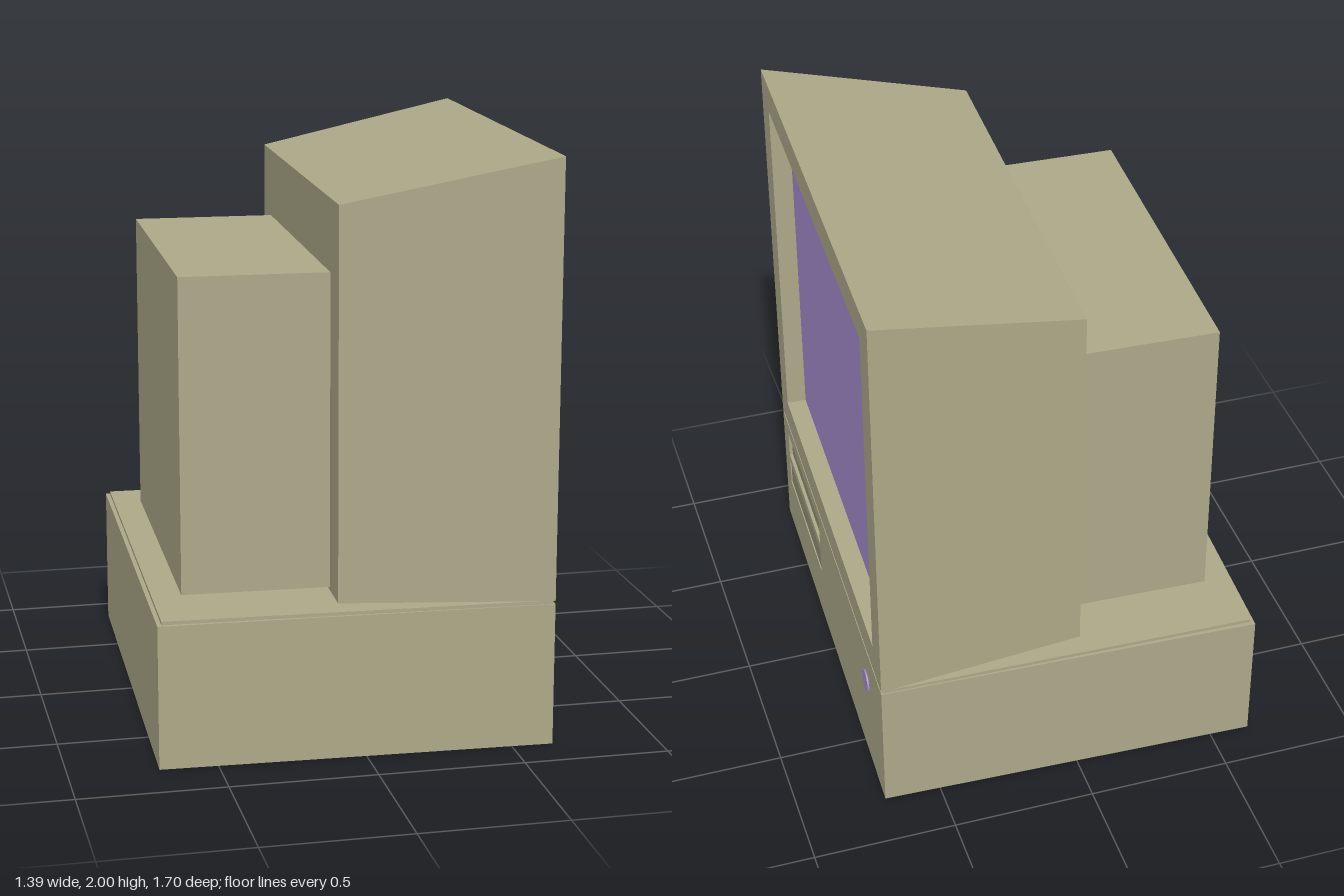
import * as THREE from 'three';

const beige = new THREE.MeshStandardMaterial({ color: 0xaca888 });
const shade = new THREE.MeshStandardMaterial({ color: 0x928f76 });
const violet = new THREE.MeshStandardMaterial({ color: 0xa58ccc });

// Joins rectangular rings [x, halfWidth, bottom, top], listed from back to front
function loft(rings, capFront = true) {
  const pos = [];
  const corners = rings.map(([x, h, y0, y1]) => [[x, y0, h], [x, y0, -h], [x, y1, -h], [x, y1, h]]);
  const quad = (a, b, c, d) => pos.push(...a, ...b, ...c, ...a, ...c, ...d);
  for (let r = 0; r < corners.length - 1; r++) {
    for (let i = 0; i < 4; i++) {
      const j = (i + 1) % 4;
      quad(corners[r][i], corners[r][j], corners[r + 1][j], corners[r + 1][i]);
    }
  }
  quad(...[...corners[0]].reverse());
  if (capFront) quad(...corners[corners.length - 1]);
  const geo = new THREE.BufferGeometry();
  geo.setAttribute('position', new THREE.Float32BufferAttribute(pos, 3));
  geo.computeVertexNormals();
  return geo;
}

// Traces a rectangle on the front; z is mirrored because the shape is turned to face +x
function rect(path, z0, z1, y0, y1) {
  path.moveTo(-z1, y0);
  path.lineTo(-z0, y0);
  path.lineTo(-z0, y1);
  path.lineTo(-z1, y1);
  path.closePath();
  return path;
}

export function createModel() {
  const computer = new THREE.Group();
  computer.name = 'desktopComputer';
  const add = (name, geo, mat = beige, x = 0, y = 0, z = 0) => {
    const mesh = new THREE.Mesh(geo, mat);
    mesh.name = name;
    mesh.position.set(x, y, z);
    computer.add(mesh);
    return mesh;
  };

  // Case body, with a front panel pierced by two drive bays
  const front = 0.67, panel = 0.03;
  add('caseBody', loft([[-front, 0.828, 0, 0.495], [front - panel, 0.828, 0, 0.495]]));
  const face = rect(new THREE.Shape(), -0.828, 0.828, 0, 0.495);
  const bays = [[0.345, 0.445], [0.21, 0.31]];
  bays.forEach(([y0, y1]) => face.holes.push(rect(new THREE.Path(), 0.183, 0.738, y0, y1)));
  const faceGeo = new THREE.ExtrudeGeometry(face, { depth: panel, bevelEnabled: false });
  add('caseFront', faceGeo.rotateY(Math.PI / 2), beige, front - panel);
  bays.forEach(([y0, y1], i) => add(
    i ? 'lowerDrive' : 'upperDrive',
    new THREE.BoxGeometry(0.02, y1 - y0, 0.555), shade,
    front - (i ? 0.014 : 0.022), (y0 + y1) / 2, 0.4605));

  // Thin lid between case and monitor
  add('caseLid', loft([[-0.655, 0.814, 0.49, 0.507], [0.664, 0.824, 0.49, 0.507]]));

  // Power button
  const button = new THREE.CylinderGeometry(0.042, 0.042, 0.012, 16).rotateZ(-Math.PI / 2);
  add('powerButton', button, violet, front, 0.345, -0.588);

  // Monitor housing: tapered back, bezel, then recess walls
  add('monitorHousing', loft([
    [-0.055, 0.745, 0.513, 1.85],
    [front, 0.828, 0.506, 2],
    [front, 0.713, 0.615, 1.895],
    [front - 0.07, 0.713, 0.615, 1.895],
  ], false));
  const screen = new THREE.PlaneGeometry(1.426, 1.28).rotateY(Math.PI / 2);
  add('screen', screen, violet, front - 0.07, 1.255);

  // Rear tube housing
  add('tubeHousing', loft([[-0.561, 0.598, 0.525, 1.605], [-0.05, 0.598, 0.525, 1.605]]));

  // The whole machine sits slightly turned
  computer.rotation.y = -0.0335;
  const model = new THREE.Group();
  model.name = 'model';
  model.add(computer);
  return model;
}
